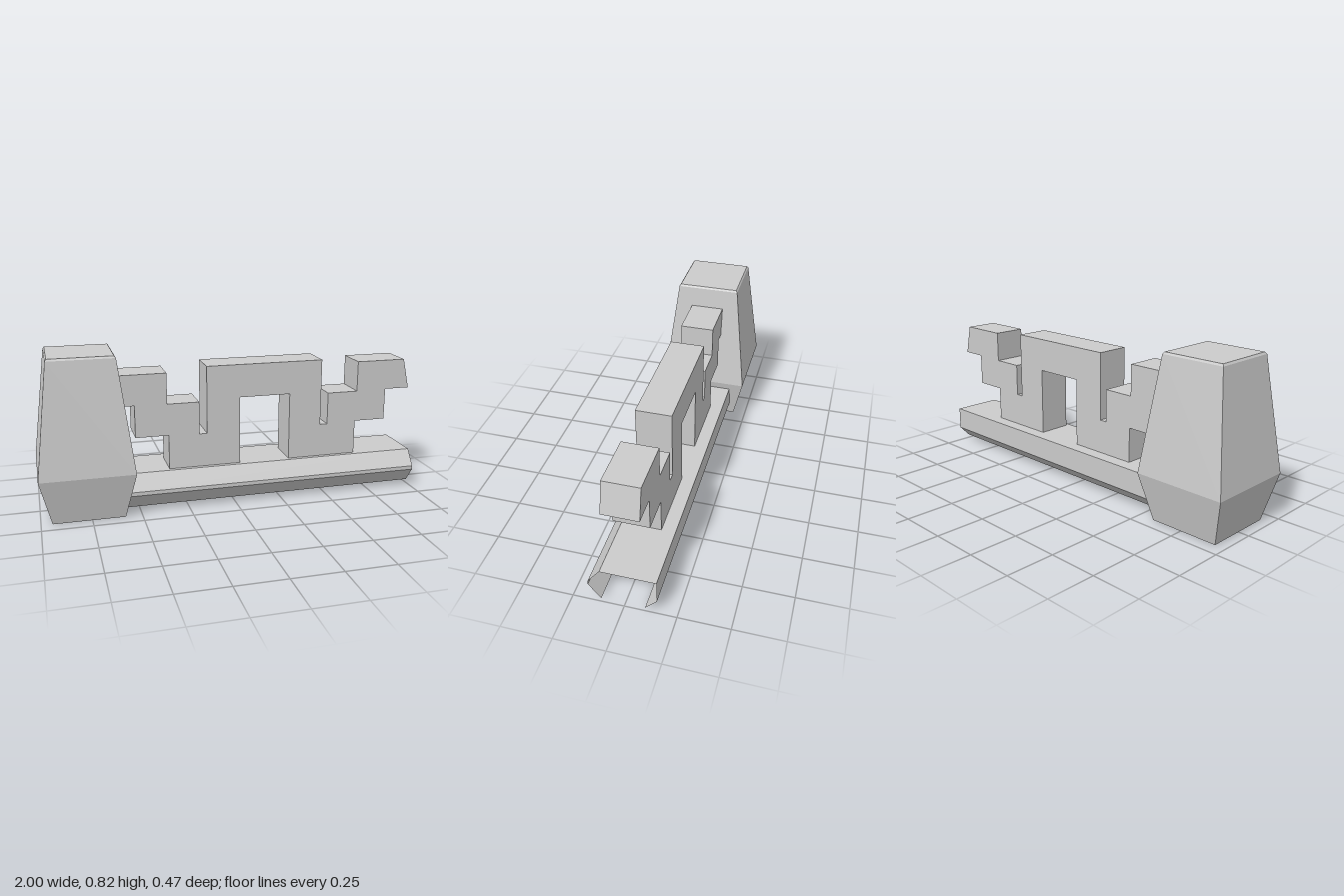
import * as THREE from 'three';

const grey = (side = THREE.FrontSide) =>
  new THREE.MeshStandardMaterial({ color: 0xcccccc, flatShading: true, side });

function addPart(group, name, geometry, material = grey()) {
  const flat = geometry.index ? geometry.toNonIndexed() : geometry;
  flat.computeVertexNormals();
  const mesh = new THREE.Mesh(flat, material);
  mesh.name = name;
  group.add(mesh);
  return mesh;
}

const toVectors = (pairs) => pairs.map(([a, b]) => new THREE.Vector2(a, b));

// Square post: half-widths and heights turned round in four sides
function postGeometry() {
  const profile = [[0, 0], [0.18, 0], [0.236, 0.24], [0.165, 0.81], [0.158, 0.82], [0, 0.82]];
  const points = toVectors(profile.map(([half, y]) => [half * Math.SQRT2, y]));
  return new THREE.LatheGeometry(points, 4, Math.PI / 4);
}

// Open folded sheet: a plane whose rows follow a (z, y) profile
function railGeometry(x0, x1) {
  const profile = [
    [-0.1, 0.02], [-0.157, 0.08], [-0.157, 0.2], [0.11, 0.2],
    [0.17, 0.12], [0.17, 0.1], [0.11, 0.02],
  ];
  const geo = new THREE.PlaneGeometry(1, 1, 1, profile.length - 1);
  const pos = geo.attributes.position;
  for (let i = 0; i < pos.count; i++) {
    const [z, y] = profile[Math.floor(i / 2)];
    pos.setXYZ(i, i % 2 ? x1 : x0, y, z);
  }
  return geo;
}

// Stepped fretwork: one half outline, mirrored about its own centre
function fretworkGeometry(depth) {
  const half = [
    [0.135, 0.555], [0.135, 0.19], [0.51, 0.19], [0.51, 0.38], [0.68, 0.38],
    [0.68, 0.547], [0.815, 0.547], [0.78, 0.705], [0.515, 0.705], [0.515, 0.545],
    [0.35, 0.545], [0.35, 0.375], [0.31, 0.375], [0.31, 0.727],
  ];
  const mirrored = half.map(([x, y]) => [-x, y]).reverse();
  const shape = new THREE.Shape(toVectors([...half, ...mirrored]));
  const geo = new THREE.ExtrudeGeometry(shape, { depth, bevelEnabled: false });
  return geo.translate(0, 0, -depth / 2);
}

export function createModel() {
  const group = new THREE.Group();
  group.name = 'railing';

  addPart(group, 'post', postGeometry()).position.x = -0.764;
  addPart(group, 'baseRail', railGeometry(-0.6, 1), grey(THREE.DoubleSide));
  addPart(group, 'steppedFretwork', fretworkGeometry(0.176)).position.x = 0.17;

  return group;
}
